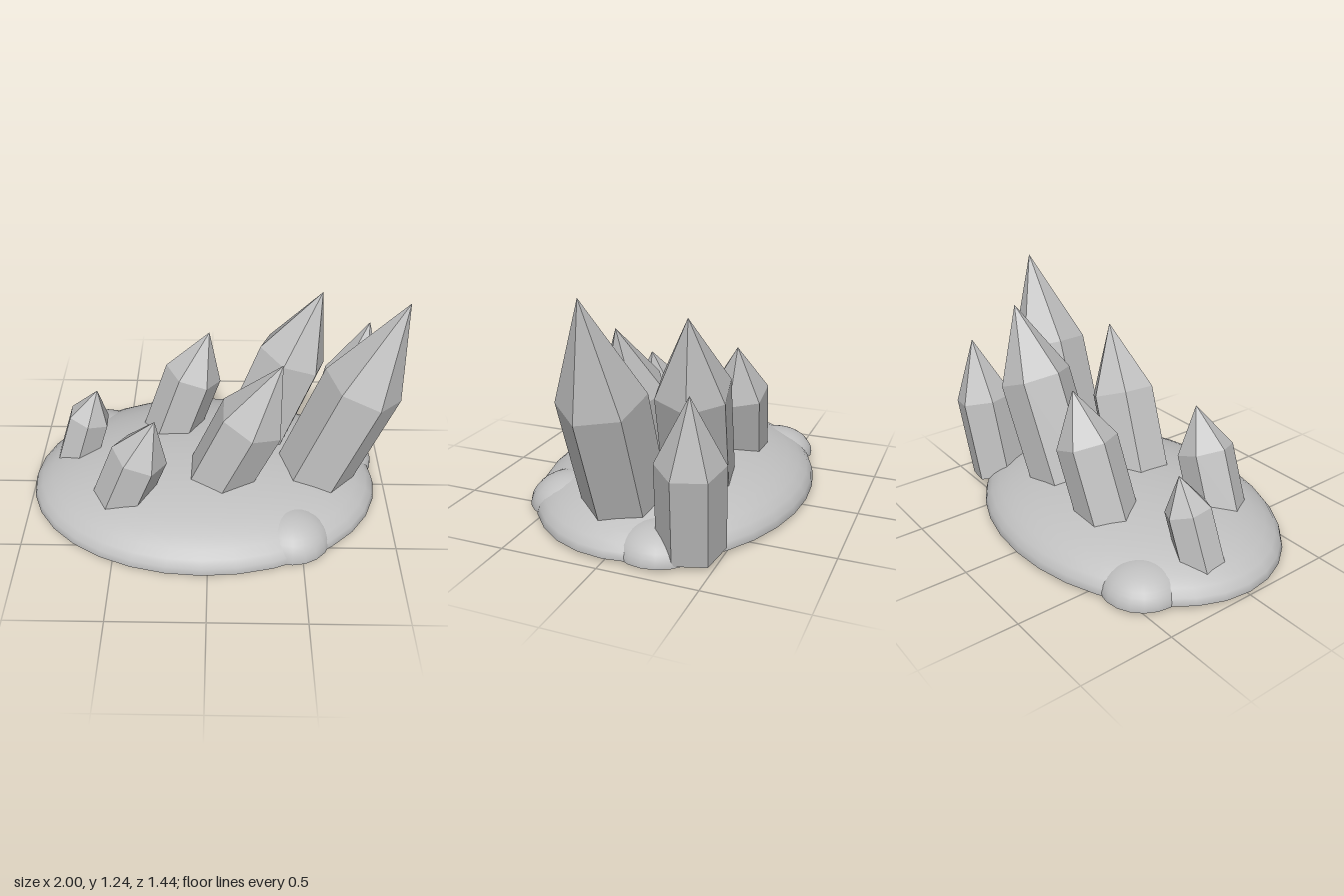
import * as THREE from 'three';

export function createModel() {
  const model = new THREE.Group();
  const stone = new THREE.MeshStandardMaterial({ color: 0xc0c0c0 });
  stone.name = 'stone grey';

  // Smooth half-ellipsoid with a flat underside
  function mound(name, x, z, rx, ry, rz, y, segments) {
    const group = new THREE.Group();
    group.name = name;
    const top = new THREE.Mesh(
      new THREE.SphereGeometry(1, segments, 10, 0, Math.PI * 2, 0, Math.PI / 2), stone);
    top.name = name + 'Top';
    const underside = new THREE.Mesh(new THREE.CircleGeometry(1, segments), stone);
    underside.name = name + 'Underside';
    underside.rotation.x = Math.PI / 2;
    group.add(top, underside);
    group.scale.set(rx, ry, rz);
    group.position.set(x, y, z);
    model.add(group);
  }

  // Six-sided prism with a pointed end; the axis runs from shoulder centre to tip
  function crystal(name, shoulder, tip, radius, bodyLength, phaseDegrees) {
    const centre = new THREE.Vector3(...shoulder);
    const axis = new THREE.Vector3(...tip).sub(centre);
    const profile = [[0, -bodyLength], [radius, -bodyLength], [radius, 0], [0, axis.length()]]
      .map(([r, y]) => new THREE.Vector2(r, y));
    const phase = THREE.MathUtils.degToRad(90 - phaseDegrees);
    const geometry = new THREE.LatheGeometry(profile, 6, phase).toNonIndexed();
    geometry.computeVertexNormals(); // flat facets
    const mesh = new THREE.Mesh(geometry, stone);
    mesh.name = name;
    mesh.quaternion.setFromUnitVectors(new THREE.Vector3(0, 1, 0), axis.normalize());
    mesh.position.copy(centre);
    model.add(mesh);
  }

  // Rock base and the small lumps around its rim
  mound('rockBase', -0.03, 0, 0.97, 0.235, 0.72, 0.015, 32);
  mound('backRightLump', -0.64, -0.38, 0.215, 0.14, 0.215, 0.013, 20);
  mound('frontLeftLump', 0.44, 0.42, 0.22, 0.16, 0.22, 0.013, 20);
  mound('backLeftLump', 0.735, -0.2, 0.215, 0.14, 0.215, 0.013, 20);
  mound('frontLump', -0.18, 0.46, 0.19, 0.1, 0.19, 0.013, 20);

  // Crystals, tallest first, all leaning to the model's left
  crystal('tallestCrystal', [0.805, 0.745, 0.05], [0.985, 1.24, 0.056], 0.215, 0.72, 11);
  crystal('backTallCrystal', [0.454, 0.72, -0.26], [0.597, 1.1, -0.288], 0.195, 0.65, -10);
  crystal('frontTallCrystal', [0.225, 0.6, 0.165], [0.37, 0.955, 0.185], 0.185, 0.5, 30);
  crystal('outerCrystal', [0.825, 0.5, -0.39], [0.89, 0.84, -0.41], 0.165, 0.46, 12);
  crystal('backMiddleCrystal', [-0.095, 0.555, -0.31], [-0.005, 0.815, -0.33], 0.162, 0.45, 0);
  crystal('frontSmallCrystal', [-0.362, 0.435, 0.27], [-0.275, 0.66, 0.272], 0.152, 0.36, 0);
  crystal('smallestCrystal', [-0.68, 0.37, -0.135], [-0.627, 0.54, -0.15], 0.122, 0.32, -32);

  return model;
}
